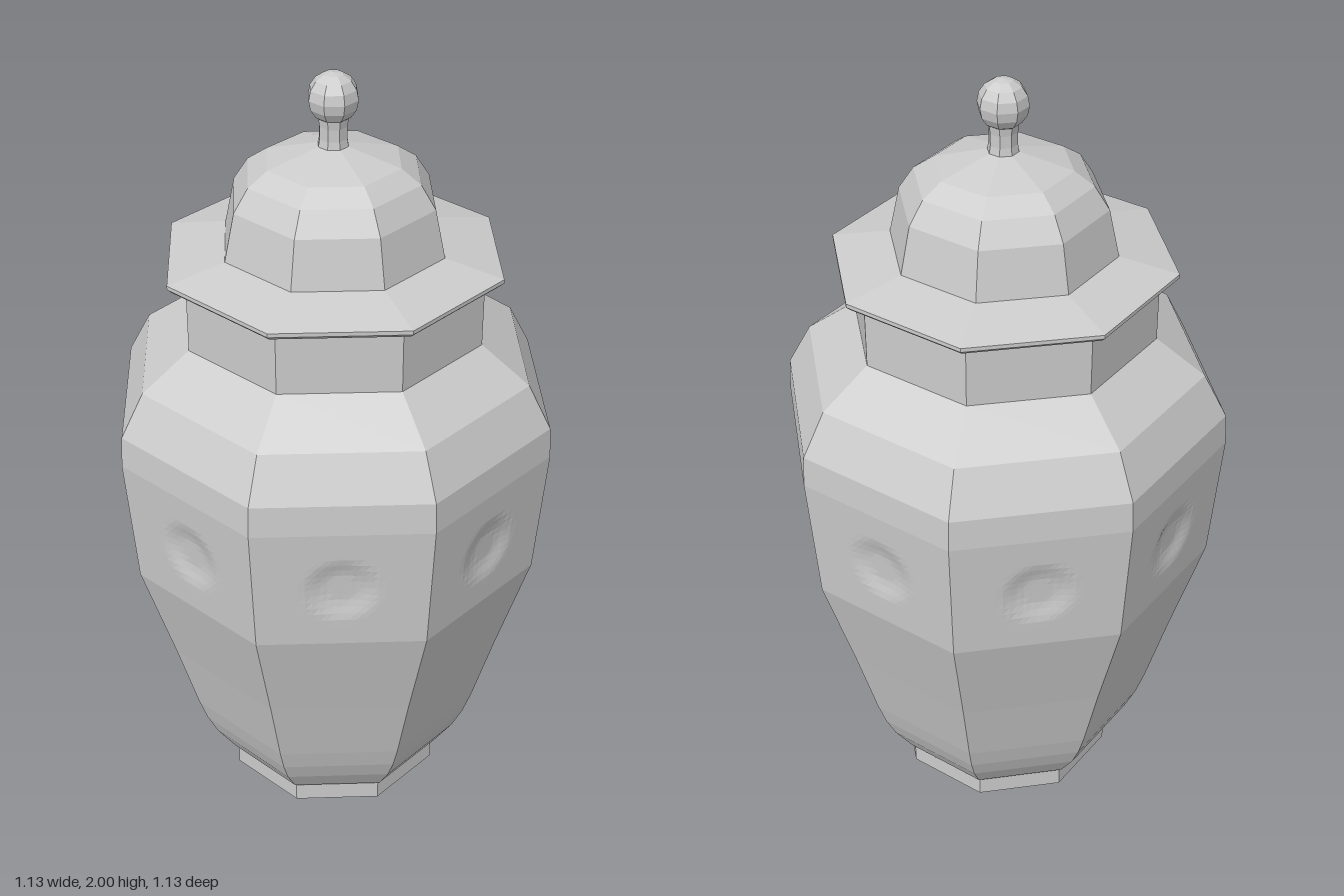
import * as THREE from 'three';

const SIDES = 8;
const material = new THREE.MeshStandardMaterial({ color: 0xcccccc, flatShading: true });

// Eight-sided turned part from a profile of [radius, height], listed bottom to top
function turned(name, profile) {
  const points = profile.map(([r, y]) => new THREE.Vector2(r, y));
  const mesh = new THREE.Mesh(new THREE.LatheGeometry(points, SIDES), material);
  mesh.name = name;
  return mesh;
}

// One flat side of the belly with a shallow round dimple in the middle
function dimpledPanel([r0, y0], [r1, y1]) {
  const geometry = new THREE.PlaneGeometry(1, 1, 24, 18);
  const pos = geometry.attributes.position;
  const half = Math.PI / SIDES;
  for (let i = 0; i < pos.count; i++) {
    const v = pos.getY(i) + 0.5;
    const r = THREE.MathUtils.lerp(r0, r1, v);
    const x = pos.getX(i) * 2 * r * Math.sin(half);
    const y = THREE.MathUtils.lerp(y0, y1, v);
    const d = Math.hypot(x, y - 0.91);
    const dent = 0.012 * (1 - THREE.MathUtils.smoothstep(d, 0.035, 0.1));
    pos.setXYZ(i, x, y, r * Math.cos(half) - dent);
  }
  geometry.computeVertexNormals();
  return geometry;
}

export function createModel() {
  const jar = new THREE.Group();
  jar.name = 'liddedJar';
  const bellyLow = [0.54, 0.74];
  const bellyHigh = [0.567, 1.08];

  // Foot and tapering lower body
  jar.add(turned('foot', [[0, 0], [0.29, 0], [0.29, 0.055]]));
  jar.add(turned('lowerBody', [
    [0.29, 0.055], [0.3, 0.06], [0.35, 0.135], [0.378, 0.195], [0.4, 0.26],
    [0.456, 0.46], [0.513, 0.65], bellyLow,
  ]));

  // Belly: eight dimpled panels
  const belly = new THREE.Group();
  belly.name = 'belly';
  const panel = dimpledPanel(bellyLow, bellyHigh);
  for (let i = 0; i < SIDES; i++) {
    const mesh = new THREE.Mesh(panel, material);
    mesh.name = 'bellyPanel';
    mesh.rotation.y = ((i + 0.5) * 2 * Math.PI) / SIDES;
    belly.add(mesh);
  }
  jar.add(belly);

  // Shoulder and neck
  jar.add(turned('shoulder', [bellyHigh, [0.562, 1.16], [0.503, 1.27], [0.38, 1.36]]));
  jar.add(turned('neck', [[0.38, 1.36], [0.38, 1.52]]));

  // Lid with a thin brim and a stepped dome
  jar.add(turned('lidBrim', [
    [0, 1.518], [0.38, 1.518], [0.415, 1.525], [0.426, 1.535], [0.426, 1.545], [0.28, 1.575],
  ]));
  jar.add(turned('lidDome', [
    [0.28, 1.575], [0.254, 1.695], [0.217, 1.752], [0.168, 1.786], [0.035, 1.822], [0, 1.822],
  ]));

  // Knob on a short stem
  jar.add(turned('knobStem', [[0.039, 1.815], [0.035, 1.84], [0.035, 1.87], [0.039, 1.9]]));
  const ball = [];
  for (let i = 0; i <= 8; i++) {
    const a = (i / 8) * Math.PI;
    ball.push([0.062 * Math.sin(a), 1.938 - 0.062 * Math.cos(a)]);
  }
  jar.add(turned('knob', ball));

  return jar;
}
